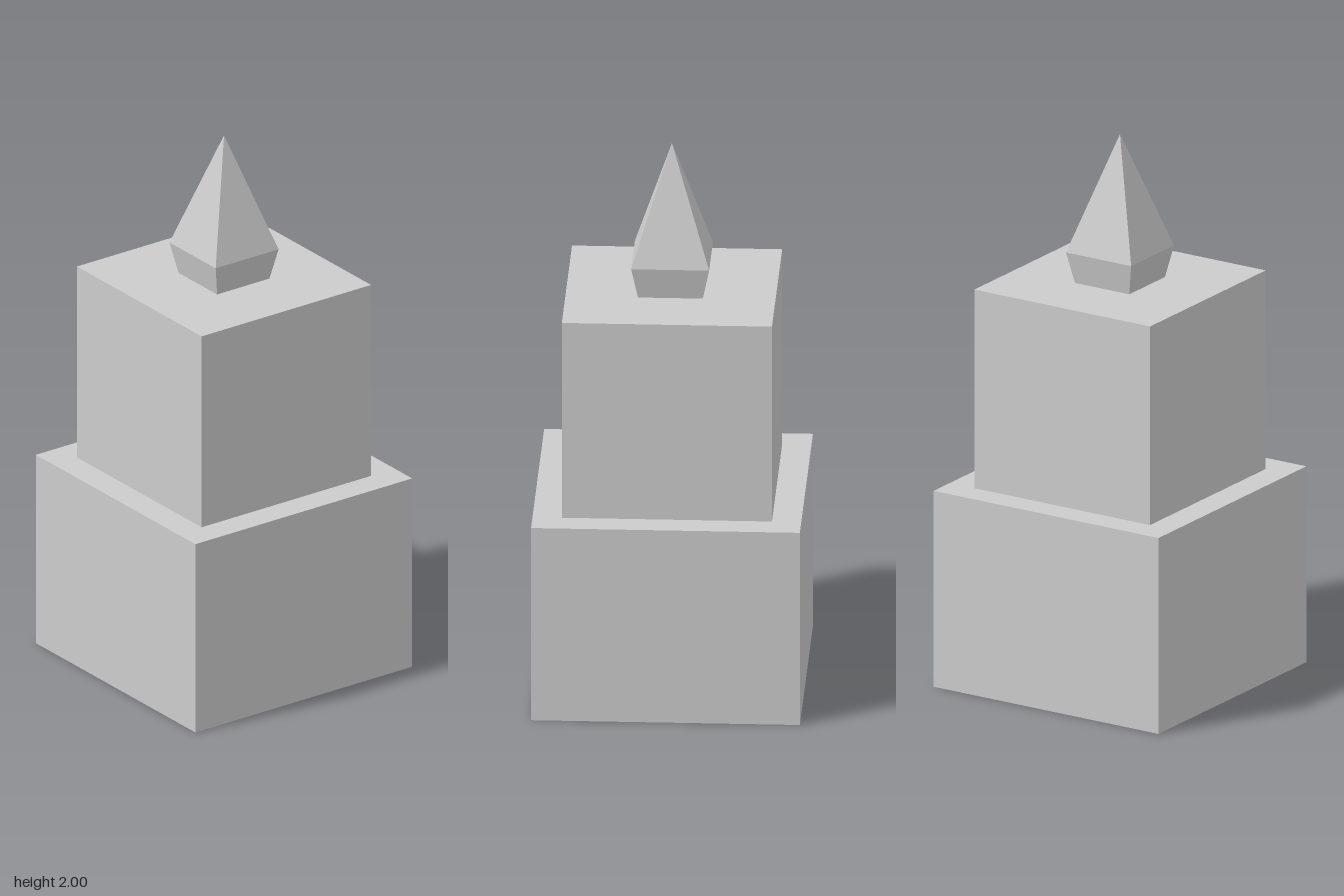
import * as THREE from 'three';

export function createModel() {
  const group = new THREE.Group();
  const material = new THREE.MeshStandardMaterial({ color: 0xcccccc, flatShading: true });

  // Square block or taper between two heights, given by its half widths
  function squareTier(name, bottomHalf, topHalf, y0, y1, openEnded = false) {
    const geometry = new THREE.CylinderGeometry(
      topHalf * Math.SQRT2, bottomHalf * Math.SQRT2, y1 - y0, 4, 1, openEnded);
    geometry.rotateY(Math.PI / 4);
    geometry.translate(0, (y0 + y1) / 2, 0);
    const mesh = new THREE.Mesh(geometry, material);
    mesh.name = name;
    group.add(mesh);
  }

  // Stacked blocks
  squareTier('lowerBlock', 0.472, 0.472, 0, 0.725);
  squareTier('upperBlock', 0.369, 0.369, 0.725, 1.46);

  // Finial: flared collar and tall pyramid
  squareTier('finialCollar', 0.114, 0.137, 1.46, 1.575, true);
  squareTier('finialSpire', 0.137, 0, 1.575, 2, true);

  return group;
}
